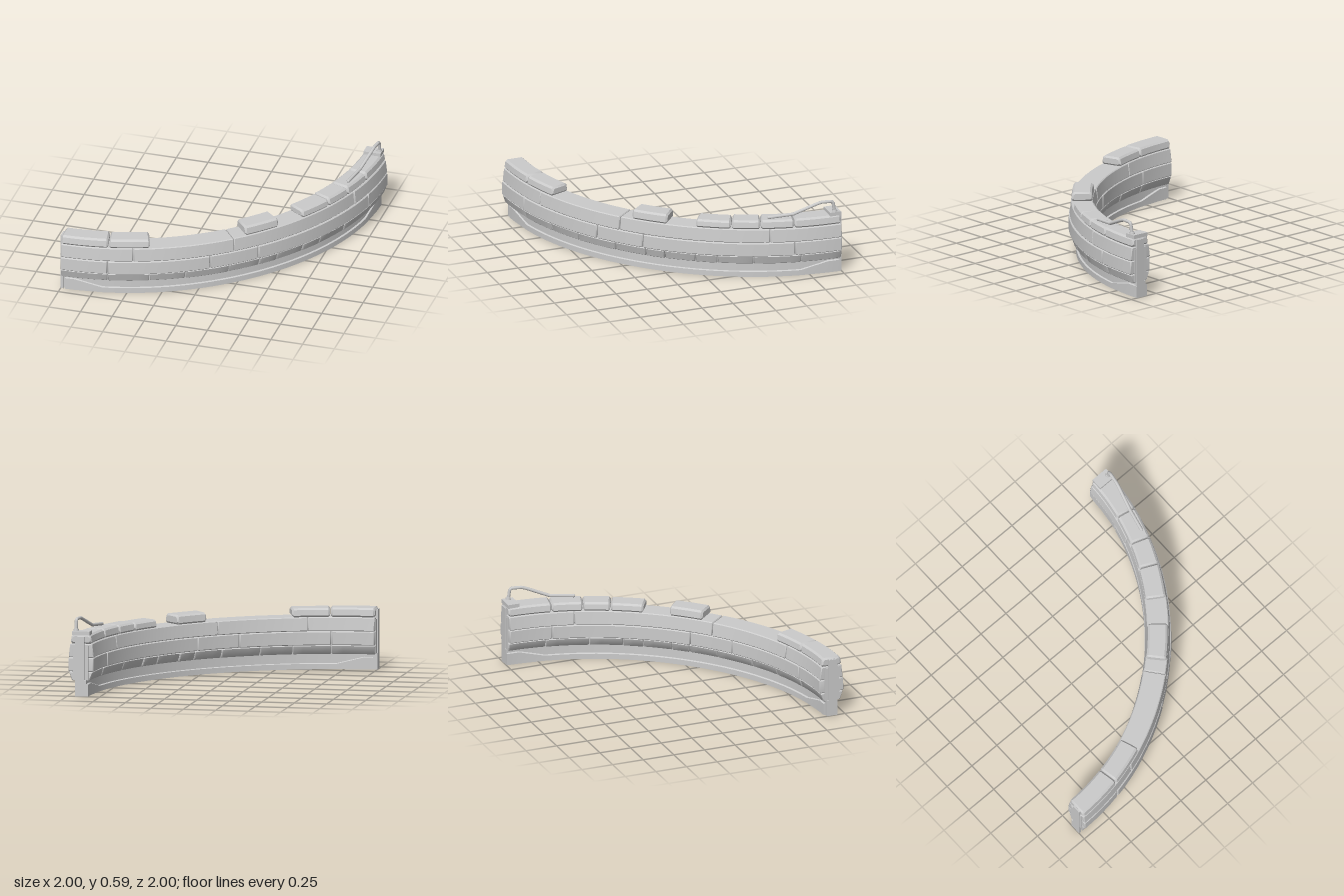
import * as THREE from 'three';
import { toCreasedNormals } from 'three/addons/utils/BufferGeometryUtils.js';

const material = new THREE.MeshStandardMaterial({ color: 0xcccccc });
const DEG = Math.PI / 180;

// Point on the quarter-circle wall: angle in degrees, radius, height
function place(deg, r, y) {
  const a = deg * DEG;
  const rr = r - 0.022 * Math.sin(2 * a) ** 2; // slightly flattened middle
  return new THREE.Vector3(-1 + rr * Math.sin(a), y, -1 + rr * Math.cos(a));
}

// Sweep convex (radius, height) cross-sections along the arc and cap both ends
function sweep(sections) {
  const pos = [];
  const tri = (a, b, c) => pos.push(...a.toArray(), ...b.toArray(), ...c.toArray());
  const rings = sections.map(({ deg, pts }) => pts.map(([r, y]) => place(deg, r, y)));
  const n = rings[0].length;
  for (let s = 0; s < rings.length - 1; s++) {
    for (let i = 0; i < n; i++) {
      const j = (i + 1) % n;
      const [a, b, c, d] = [rings[s][i], rings[s + 1][i], rings[s + 1][j], rings[s][j]];
      tri(a, b, c);
      tri(a, c, d);
    }
  }
  const last = rings[rings.length - 1];
  for (let i = 1; i < n - 1; i++) {
    tri(rings[0][0], rings[0][i], rings[0][i + 1]);
    tri(last[0], last[i + 1], last[i]);
  }
  const geo = new THREE.BufferGeometry();
  geo.setAttribute('position', new THREE.Float32BufferAttribute(pos, 3));
  return toCreasedNormals(geo, 35 * DEG);
}

// Evenly spaced angles from a to b
function angles(a, b) {
  const n = Math.max(1, Math.ceil((b - a) / 2.5));
  return Array.from({ length: n + 1 }, (_, i) => a + ((b - a) * i) / n);
}

const rect = (r0, r1, y0, y1) => [[r0, y0], [r1, y0], [r1, y1], [r0, y1]];

// Chamfer each corner of a profile by distance d
function chamfer(pts, d) {
  const out = [];
  pts.forEach((p, i) => {
    for (const q of [pts[(i + pts.length - 1) % pts.length], pts[(i + 1) % pts.length]]) {
      const t = d / Math.hypot(q[0] - p[0], q[1] - p[1]);
      out.push([p[0] + (q[0] - p[0]) * t, p[1] + (q[1] - p[1]) * t]);
    }
  });
  return out;
}

// Pull a profile inward by d on every side
function inset(pts, d) {
  const box = new THREE.Box2().setFromPoints(pts.map((p) => new THREE.Vector2(...p)));
  const c = box.getCenter(new THREE.Vector2());
  const s = box.getSize(new THREE.Vector2());
  return pts.map(([x, y]) => [c.x + (x - c.x) * (1 - (2 * d) / s.x), c.y + (y - c.y) * (1 - (2 * d) / s.y)]);
}

// One curved stone with bevelled edges and ends
function stone(a, b, profile, bevel) {
  const pts = chamfer(profile, bevel);
  const e = bevel / 1.9 / DEG;
  return sweep([
    { deg: a, pts: inset(pts, bevel) },
    ...angles(a + e, b - e).map((deg) => ({ deg, pts })),
    { deg: b, pts: inset(pts, bevel) },
  ]);
}

export function createModel() {
  const root = new THREE.Group();
  const add = (name, geo, parent = root) => {
    const mesh = new THREE.Mesh(geo, material);
    mesh.name = name;
    parent.add(mesh);
    return mesh;
  };
  const arc = (a, b, pts) => sweep(angles(a, b).map((deg) => ({ deg, pts })));

  // Plinth, inner core and the tongues showing at both ends
  add('plinth', arc(0, 90, rect(1.855, 1.928, 0, 0.125)));
  add('core', arc(0.2, 89.8, rect(1.84, 1.955, 0.125, 0.385)));
  add('endTongueRight', arc(0, 0.6, rect(1.87, 1.94, 0, 0.455)));
  add('endTongueLeft', arc(89.4, 90, rect(1.87, 1.94, 0, 0.455)));

  // Plinth skirt: low along the middle, rising near the ends
  const skirtHeight = (deg) => {
    const d = Math.min(deg, 90 - deg);
    return THREE.MathUtils.mapLinear(THREE.MathUtils.clamp(d, 3.2, 9.5), 3.2, 9.5, 0.095, 0.045);
  };
  const skirtAngles = [1, 3.2, ...angles(9.5, 80.5), 86.8, 89, 89.9];
  add('plinthSkirt', sweep(skirtAngles.map((deg) => {
    const h = skirtHeight(deg);
    return { deg, pts: [[1.84, 0], [1.942, 0], [1.942, h - 0.004], [1.936, h], [1.846, h], [1.84, h - 0.004]] };
  })));

  // Stone courses: profile corners and joint angles
  const courses = [
    { name: 'bottomCourse', profile: [[1.832, 0.117], [1.966, 0.117], [1.99, 0.186], [1.806, 0.186]],
      joints: [0.3, 10.8, 20, 28, 38, 45.5, 50, 57, 62, 70, 80.5, 89.7] },
    { name: 'lowerCourse', profile: [[1.8, 0.188], [1.996, 0.188], [1.993, 0.293], [1.8, 0.293]],
      joints: [0.3, 10.8, 33.5, 45, 79, 89.7] },
    { name: 'upperCourse', profile: [[1.8, 0.295], [1.99, 0.295], [1.978, 0.4], [1.815, 0.4]],
      joints: [0.3, 16.4, 39.2, 73.6, 89.7] },
  ];
  for (const { name, profile, joints } of courses) {
    const course = new THREE.Group();
    course.name = name;
    root.add(course);
    for (let i = 0; i < joints.length - 1; i++) {
      const d = i % 2 ? 0.003 : 0; // alternate stones stand slightly proud
      const p = profile.map(([r, y], k) => [r + (k === 1 || k === 2 ? d : -d), y]);
      add('stone', stone(joints[i] + 0.08, joints[i + 1] - 0.08, p, 0.006), course);
    }
  }

  // Cap stones with open gaps between them: start, end, top height
  const caps = new THREE.Group();
  caps.name = 'capStones';
  root.add(caps);
  const capSpans = [[0.3, 11, 0.47], [11, 20.2, 0.467], [42, 50.6, 0.472], [57, 65, 0.46],
    [65, 71.5, 0.466], [71.5, 79, 0.468], [79, 89.7, 0.47]];
  for (const [a, b, top] of capSpans) {
    const p = [[1.812, 0.4], [1.98, 0.4], [1.968, top], [1.824, top]];
    add('capStone', stone(a + 0.08, b - 0.08, p, 0.013), caps);
  }

  // Mounting plate and bent handrail at the left end
  const plate = add('railPlate', new THREE.BoxGeometry(0.135, 0.03, 0.09));
  plate.position.set(0.897, 0.479, -0.945);
  const foot = add('railFoot', new THREE.CylinderGeometry(0.018, 0.022, 0.02, 10));
  foot.position.set(0.942, 0.5, -0.945);

  const path = new THREE.CurvePath();
  const pts = [[0.847, 0.48, -0.45], [0.885, 0.495, -0.63], [0.925, 0.565, -0.8], [0.932, 0.578, -0.84],
    [0.943, 0.579, -0.915], [0.944, 0.568, -0.932], [0.944, 0.49, -0.944]].map((p) => new THREE.Vector3(...p));
  for (let i = 0; i < pts.length - 1; i++) path.add(new THREE.LineCurve3(pts[i], pts[i + 1]));
  add('handrail', new THREE.TubeGeometry(path, 48, 0.013, 8));
  const tip = add('handrailTip', new THREE.SphereGeometry(0.013, 8, 6));
  tip.position.copy(pts[0]);

  return root;
}
